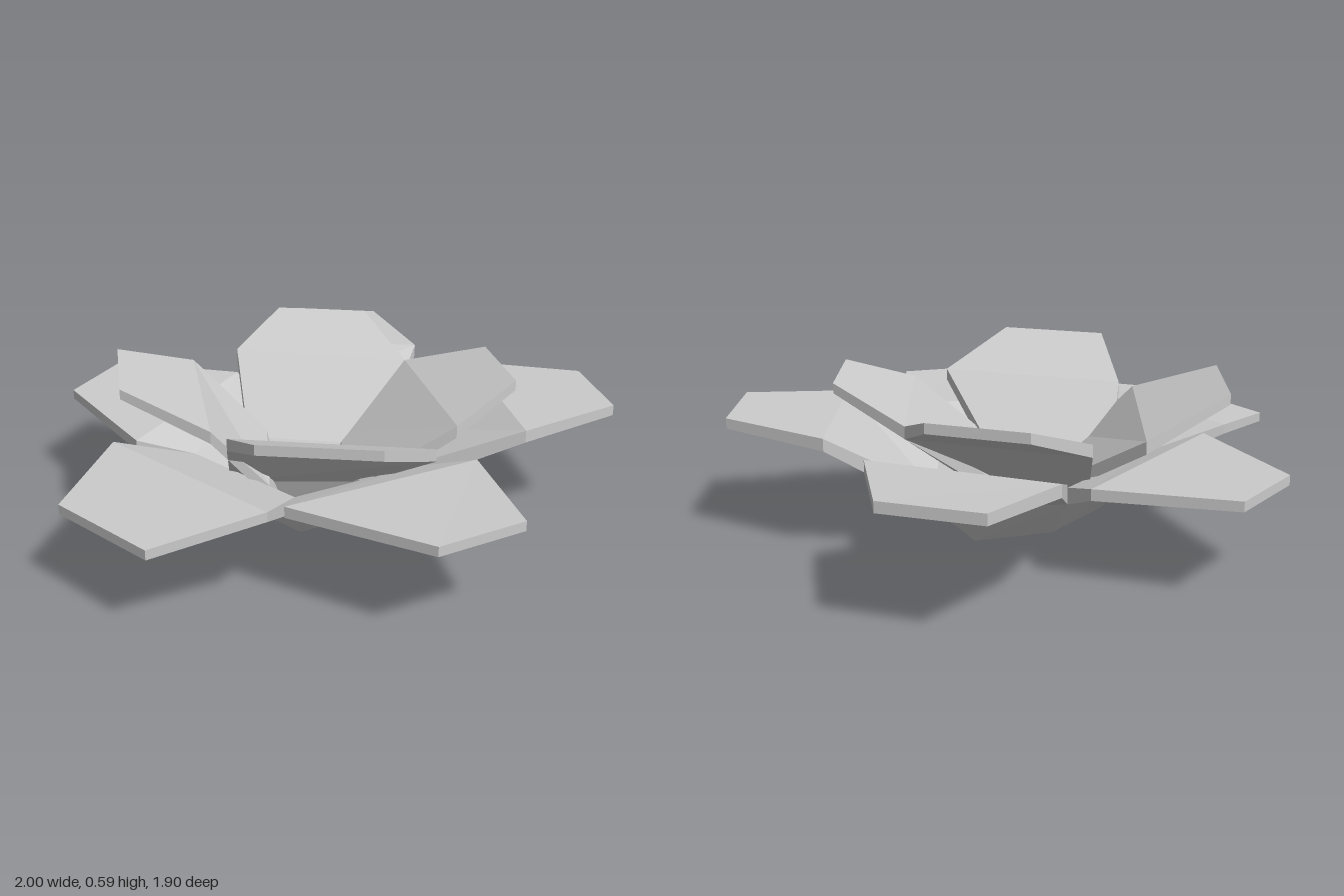
import * as THREE from 'three';

const material = new THREE.MeshStandardMaterial({ color: 0xcccccc, flatShading: true, side: THREE.DoubleSide });

// Each row crosses a petal: left corner, right corner (x, z, underside y) and thickness.
const frontOuter = [
  [[-0.15, 0.2, 0.07], [0.15, 0.2, 0.07], 0.04],
  [[-0.25, 0.33, 0.23], [0.25, 0.33, 0.23], 0.06],
  [[-0.385, 0.59, 0.345], [0.385, 0.59, 0.345], 0.035],
  [[-0.22, 0.95, 0.29], [0.22, 0.95, 0.29], 0.035],
];
const sideOuter = [
  [[0.15, 0.2, 0.07], [0.24, -0.09, 0.07], 0.04],
  [[0.25, 0.33, 0.23], [0.39, -0.14, 0.23], 0.06],
  [[0.37, 0.5, 0.32], [0.6, -0.21, 0.32], 0.04],
  [[0.9, 0.38, 0.335], [1, 0.07, 0.34], 0.035],
];
const backOuter = [
  [[0.24, -0.09, 0.07], [0, -0.26, 0], 0.04],
  [[0.39, -0.14, 0.23], [0, -0.42, 0.16], 0.07],
  [[0.675, -0.385, 0.39], [0.14, -0.77, 0.4], 0.045],
  [[0.8, -0.745, 0.42], [0.52, -0.95, 0.42], 0.038],
];
const frontInner = [
  [[0, 0.12, 0.06], [0.12, 0, 0.06], 0.03],
  [[-0.1, 0.3, 0.22], [0.25, -0.03, 0.22], 0.05],
  [[0.04, 0.44, 0.43], [0.6, 0.02, 0.43], 0.045],
  [[0.33, 0.59, 0.557], [0.65, 0.345, 0.557], 0.036],
];
const backInner = [
  [[0.065, 0.03, 0.06], [0, -0.07, 0.06], 0.03],
  [[0.285, 0.035, 0.2], [-0.07, -0.225, 0.2], 0.05],
  [[0.545, -0.16, 0.44], [0, -0.535, 0.435], 0.045],
  [[0.585, -0.435, 0.547], [0.3, -0.64, 0.547], 0.036],
];

const mirror = (rows) => rows.map(([a, b, t]) =>
  [[-b[0], b[1], b[2]], [-a[0], a[1], a[2]], t]);

// Skin a closed, folded slab over the rows
function petal(name, rows) {
  const loops = rows.map(([a, b, t]) => [
    [a[0], a[2], a[1]], [b[0], b[2], b[1]],
    [b[0], b[2] + t, b[1]], [a[0], a[2] + t, a[1]],
  ]);
  const positions = [];
  const quad = (p, q, r, s) => positions.push(...p, ...q, ...r, ...p, ...r, ...s);
  for (let k = 0; k + 1 < loops.length; k++) {
    for (let i = 0; i < 4; i++) {
      const j = (i + 1) % 4;
      quad(loops[k][i], loops[k][j], loops[k + 1][j], loops[k + 1][i]);
    }
  }
  quad(...loops[0].slice().reverse());
  quad(...loops[loops.length - 1]);
  const geometry = new THREE.BufferGeometry();
  geometry.setAttribute('position', new THREE.Float32BufferAttribute(positions, 3));
  geometry.computeVertexNormals();
  const mesh = new THREE.Mesh(geometry, material);
  mesh.name = name;
  return mesh;
}

export function createModel() {
  const flower = new THREE.Group();
  flower.name = 'flower';

  // Five spreading outer petals
  const outer = new THREE.Group();
  outer.name = 'outerPetals';
  outer.add(petal('frontOuterPetal', frontOuter));

  // Four raised inner petals
  const inner = new THREE.Group();
  inner.name = 'innerPetals';

  const pairs = [
    [outer, 'SideOuterPetal', sideOuter],
    [outer, 'BackOuterPetal', backOuter],
    [inner, 'FrontInnerPetal', frontInner],
    [inner, 'BackInnerPetal', backInner],
  ];
  for (const [ring, name, rows] of pairs) {
    ring.add(petal('left' + name, rows), petal('right' + name, mirror(rows)));
  }

  flower.add(outer, inner);
  return flower;
}
